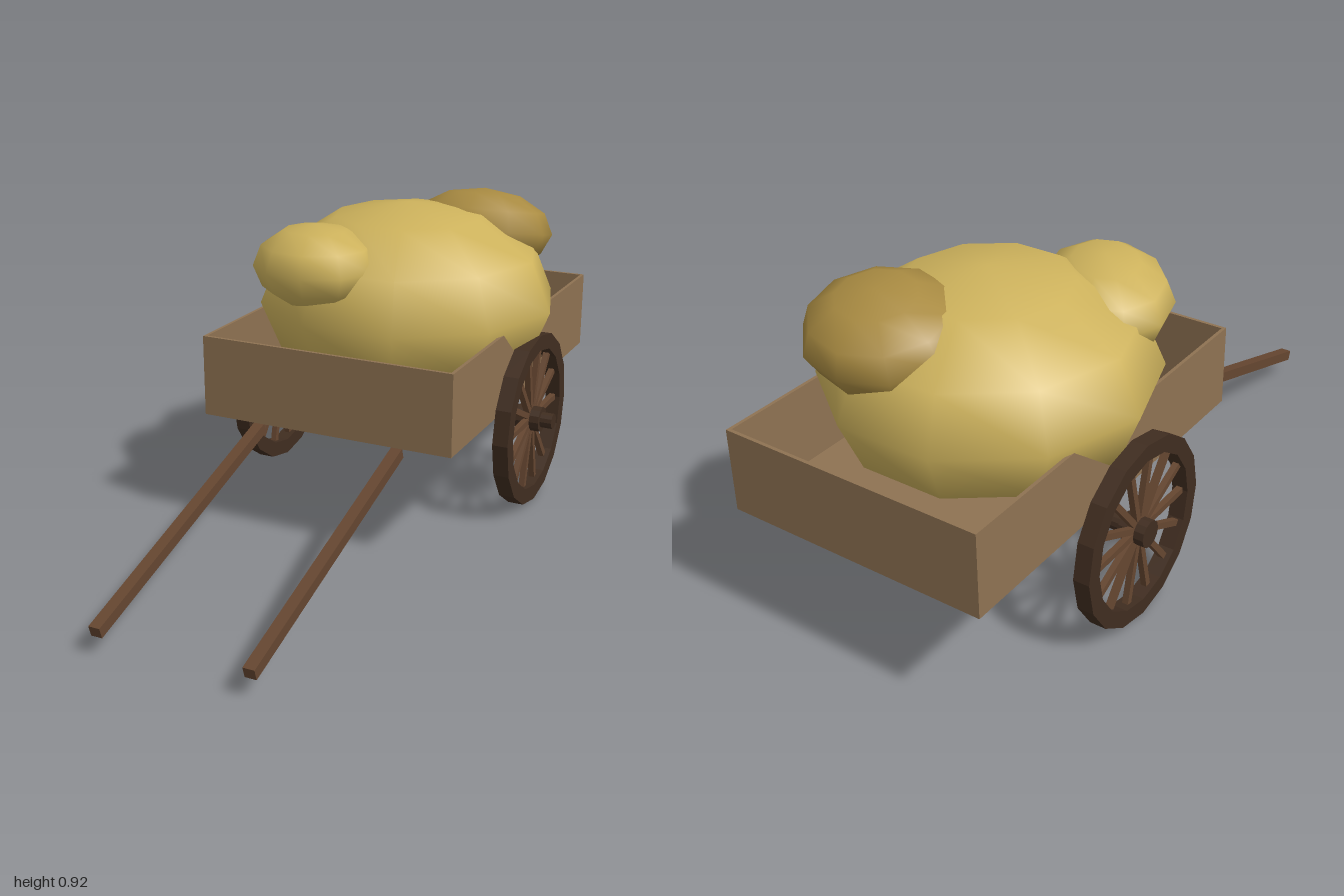
import * as THREE from 'three';

const mat = (color, flatShading = false) => new THREE.MeshStandardMaterial({ color, flatShading });
const plank = mat(0x8e7252);
const pole = mat(0x654630);
const darkWood = mat(0x402d20, true);
const hay = mat(0xcdb25c);
const oldHay = mat(0xa98b42);

const AXLE_Y = 0.272, AXLE_Z = -0.41;

function add(parent, name, geometry, material, x = 0, y = 0, z = 0) {
  const mesh = new THREE.Mesh(geometry, material);
  mesh.name = name;
  mesh.position.set(x, y, z);
  parent.add(mesh);
  return mesh;
}

// Regular polygon outline used for the wheel rim
function ring(radius, sides) {
  return Array.from({ length: sides }, (_, i) => {
    const a = (i / sides) * Math.PI * 2;
    return new THREE.Vector2(Math.cos(a) * radius, Math.sin(a) * radius);
  });
}

// Spoked wheel, built in the xy plane and turned to face sideways
function makeWheel(name, x) {
  const wheel = new THREE.Group();
  wheel.name = name;
  const width = 0.048;
  const shape = new THREE.Shape(ring(0.27, 16));
  shape.holes.push(new THREE.Path(ring(0.222, 16)));
  const rim = new THREE.ExtrudeGeometry(shape, { depth: width, bevelEnabled: false });
  add(wheel, 'rim', rim.translate(0, 0, -width / 2), darkWood);

  const hub = new THREE.CylinderGeometry(0.039, 0.039, 0.078, 12).rotateX(Math.PI / 2);
  add(wheel, 'hub', hub, darkWood);

  const spokes = 14;
  const spoke = new THREE.BoxGeometry(0.205, 0.018, 0.018).translate(0.1275, 0, 0);
  for (let i = 0; i < spokes; i++) {
    add(wheel, 'spoke', spoke, pole).rotation.z = (i / spokes) * Math.PI * 2;
  }
  wheel.rotation.y = Math.PI / 2;
  wheel.position.set(x, AXLE_Y, AXLE_Z);
  return wheel;
}

// Squashed low-poly sphere of hay
function addHay(parent, name, material, position, size, rotation = [0, 0, 0]) {
  const clump = add(parent, name, new THREE.SphereGeometry(1, 10, 6), material, ...position);
  clump.scale.set(...size);
  clump.rotation.set(...rotation);
}

export function createModel() {
  const cart = new THREE.Group();
  cart.name = 'hayCart';

  // Open-topped bed
  const bed = new THREE.Group();
  bed.name = 'bed';
  bed.position.set(0.004, 0.347, AXLE_Z);
  const w = 0.788, h = 0.243, d = 1.176, t = 0.01;
  add(bed, 'floor', new THREE.BoxGeometry(w, t, d), plank, 0, t / 2, 0);
  for (const s of [-1, 1]) {
    add(bed, 'sideBoard', new THREE.BoxGeometry(t, h, d), plank, s * (w - t) / 2, h / 2, 0);
    add(bed, 'endBoard', new THREE.BoxGeometry(w, h, t), plank, 0, h / 2, s * (d - t) / 2);
  }
  cart.add(bed);

  // Axle and wheels
  const axle = new THREE.CylinderGeometry(0.024, 0.024, 0.99, 12).rotateZ(Math.PI / 2);
  add(cart, 'axle', axle, darkWood, 0.005, AXLE_Y, AXLE_Z);
  cart.add(makeWheel('leftWheel', 0.424), makeWheel('rightWheel', -0.462));

  // Pulling shafts sloping down to the front
  for (const x of [-0.216, 0.227]) {
    const shaft = add(cart, 'shaft', new THREE.BoxGeometry(0.033, 0.032, 0.877), pole, x, 0.198, 0.576);
    shaft.rotation.x = 0.298;
  }

  // Hay load
  addHay(cart, 'hayPile', hay, [0.005, 0.615, AXLE_Z], [0.467, 0.302, 0.47]);
  addHay(cart, 'frontHayClump', hay, [-0.17, 0.76, -0.12], [0.235, 0.126, 0.187], [0, -Math.PI / 4, 0.05]);
  addHay(cart, 'backHayClump', oldHay, [0.15, 0.795, -0.657], [0.235, 0.13, 0.212], [-0.2, -0.25, 0]);

  return cart;
}
